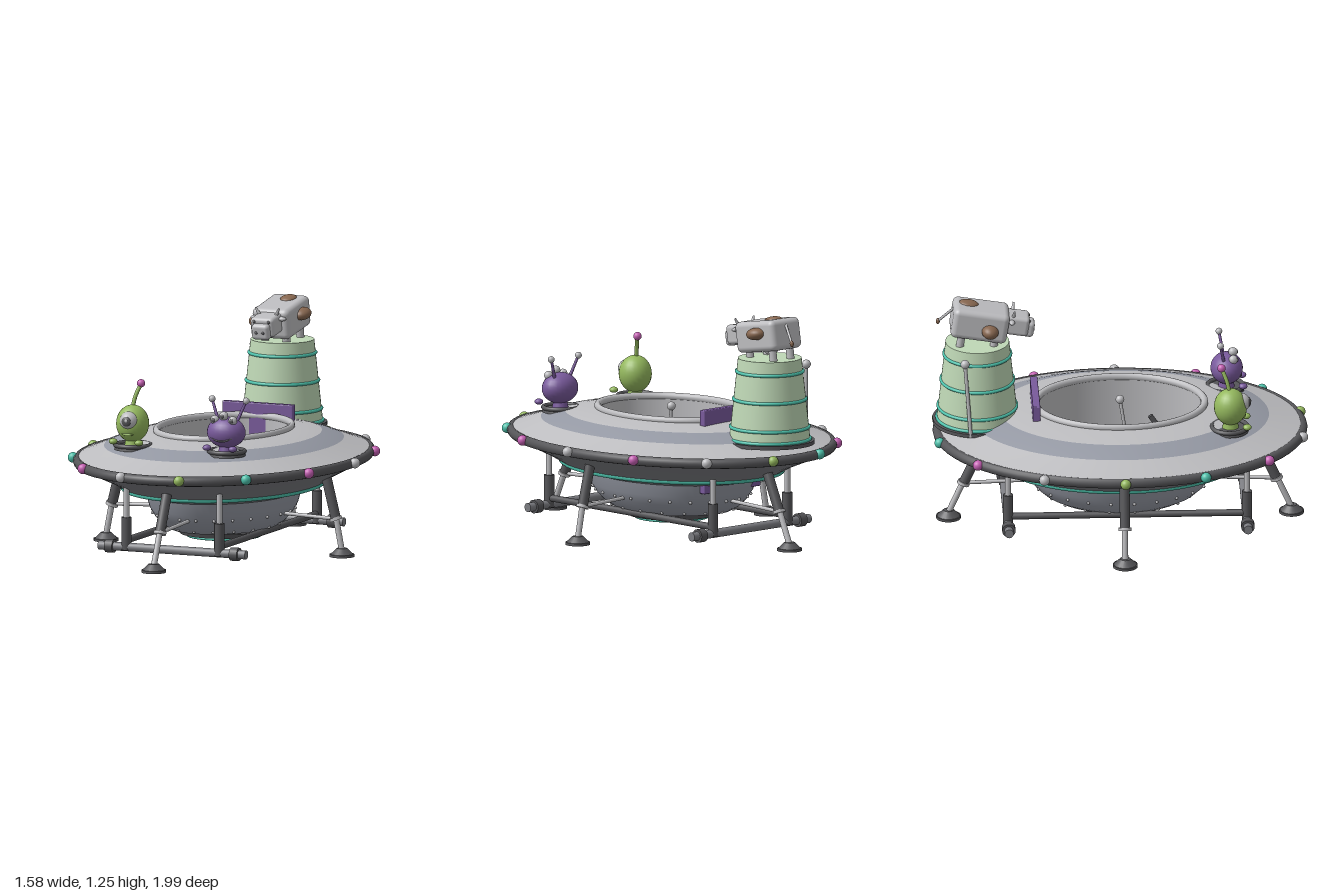
import * as THREE from 'three';
import { RoundedBoxGeometry } from 'three/addons/geometries/RoundedBoxGeometry.js';

const mat = (name, color) =>
  Object.assign(new THREE.MeshStandardMaterial({ color, side: THREE.DoubleSide }), { name });
const M = {
  grey: mat('light grey', 0xbdbdc0), blue: mat('blue grey', 0x9599a4), mid: mat('mid grey', 0x7c7d82),
  dark: mat('dark grey', 0x565659), teal: mat('teal', 0x4cc0aa), pink: mat('pink', 0xc660b4),
  lime: mat('lime green', 0x94b85e), purple: mat('purple', 0x795a9c), pale: mat('pale green', 0xbfd8b6),
  brown: mat('brown', 0x86664f),
};
const SX = 0.76; // the saucer is an ellipse: x is squeezed against z
const V = (x, y, z) => new THREE.Vector3(x, y, z);

export function createModel() {
  const root = new THREE.Group();
  const group = (name, parent = root) => {
    const g = new THREE.Group();
    g.name = name;
    parent.add(g);
    return g;
  };
  const add = (parent, name, geo, m, x = 0, y = 0, z = 0) => {
    const mesh = new THREE.Mesh(geo, m);
    mesh.name = name;
    mesh.position.set(x, y, z);
    parent.add(mesh);
    return mesh;
  };
  const ball = (parent, name, m, x, y, z, rx, ry = rx, rz = rx) => {
    const s = add(parent, name, new THREE.SphereGeometry(1, 24, 16), m, x, y, z);
    s.scale.set(rx, ry, rz);
    return s;
  };
  const rod = (parent, name, m, a, b, r0, r1 = r0) => {
    const d = b.clone().sub(a);
    const c = add(parent, name, new THREE.CylinderGeometry(r1, r0, d.length(), 20), m);
    c.position.copy(a).addScaledVector(d, 0.5);
    c.quaternion.setFromUnitVectors(V(0, 1, 0), d.normalize());
    return c;
  };
  const ring = (parent, name, m, r, tube, x, y, z) =>
    add(parent, name, new THREE.TorusGeometry(r, tube, 12, 72).rotateX(Math.PI / 2), m, x, y, z);
  const lathe = (parent, name, m, pts) =>
    add(parent, name, new THREE.LatheGeometry(pts.map(p => new THREE.Vector2(...p)), 72), m);

  // Saucer shell
  const saucer = group('saucer');
  saucer.scale.x = SX;
  lathe(saucer, 'bowl', M.blue, [[0, 0.11], [0.2, 0.112], [0.36, 0.128], [0.41, 0.155], [0.455, 0.195], [0.49, 0.245], [0.515, 0.315]]);
  lathe(saucer, 'lowerStep', M.mid, [[0.51, 0.31], [0.67, 0.355]]);
  lathe(saucer, 'lowerHull', M.mid, [[0.67, 0.355], [0.76, 0.4], [0.86, 0.44], [0.97, 0.482]]);
  lathe(saucer, 'upperHullOuter', M.grey, [[0.975, 0.52], [0.88, 0.549], [0.79, 0.578]]);
  lathe(saucer, 'upperHullStripe', M.blue, [[0.79, 0.578], [0.72, 0.6], [0.645, 0.618]]);
  lathe(saucer, 'upperHullInner', M.grey, [[0.645, 0.618], [0.55, 0.635], [0.437, 0.646]]);
  lathe(saucer, 'cockpitWall', M.grey, [[0.435, 0.25], [0.435, 0.648]]);
  ring(saucer, 'rim', M.dark, 0.967, 0.027, 0, 0.501, 0);
  ring(saucer, 'undersideRing', M.teal, 0.668, 0.016, 0, 0.357, 0);
  ring(saucer, 'cockpitRim', M.grey, 0.448, 0.02, 0, 0.65, 0);
  add(saucer, 'cockpitFloor', new THREE.CylinderGeometry(0.436, 0.436, 0.01, 72), M.blue, 0, 0.25, 0);

  // Coloured lamps around the rim
  const lampColours = [M.grey, M.pink, M.teal, M.lime];
  for (let i = 0; i < 14; i++) {
    const a = i * Math.PI / 7;
    ball(root, 'rimLamp', lampColours[i % 4], 0.76 * Math.cos(a), 0.506, 0.988 * Math.sin(a), 0.028);
  }

  // Rivets on the bowl
  for (const [r, y, n] of [[0.475, 0.215, 24], [0.39, 0.143, 18]])
    for (let i = 0; i < n; i++) {
      const a = (i + 0.5) * 2 * Math.PI / n;
      ball(root, 'rivet', M.grey, r * SX * Math.cos(a), y, r * Math.sin(a), 0.008);
    }

  // Round emitter under the bowl
  const emitter = group('emitter');
  add(emitter, 'emitterPlate', new THREE.CylinderGeometry(0.245, 0.235, 0.025, 48), M.dark, 0, 0.1, 0);
  add(emitter, 'emitterDisc', new THREE.CylinderGeometry(0.2, 0.19, 0.015, 48), M.mid, 0, 0.083, 0);
  for (const r of [0.195, 0.165, 0.138, 0.112]) ring(emitter, 'emitterRing', M.teal, r, 0.008, 0, 0.078, 0);
  ball(emitter, 'emitterDome', M.grey, 0, 0.08, 0, 0.07, 0.025, 0.07);

  // Four landing legs: [direction x, z, top, knee, foot distance, bowl distance]
  for (const [dx, dz, t, k, f, b] of [[1, 0, 0.59, 0.65, 0.685, 0.35], [-1, 0, 0.59, 0.65, 0.685, 0.35],
    [0, 1, 0.72, 0.83, 0.91, 0.46], [0, -1, 0.72, 0.83, 0.91, 0.46]]) {
    const leg = group('landingLeg');
    const p = (r, y) => V(dx * r, y, dz * r);
    rod(leg, 'upperLeg', M.dark, p(k, 0.2), p(t, 0.44), 0.027);
    rod(leg, 'lowerLeg', M.grey, p(f, 0.03), p(k, 0.21), 0.016);
    rod(leg, 'legCollar', M.grey, p(k + 0.003, 0.192), p(k - 0.003, 0.208), 0.034);
    rod(leg, 'brace', M.grey, p(k, 0.2), p(b, 0.212), 0.01);
    rod(leg, 'footPad', M.dark, p(f, 0), p(f, 0.014), 0.066);
    rod(leg, 'footCone', M.dark, p(f, 0.014), p(f, 0.045), 0.06, 0.028);
  }

  // Rectangular skid frame on pistons
  const skid = group('skidFrame');
  const skidEnds = [0.663, -0.605];
  for (const x of [-0.27, 0.27]) {
    rod(skid, 'skidRail', M.dark, V(x, 0.12, skidEnds[1]), V(x, 0.12, skidEnds[0]), 0.018);
    for (const z of skidEnds) {
      rod(skid, 'pistonSleeve', M.dark, V(x, 0.07, z), V(x, 0.245, z), 0.027);
      rod(skid, 'pistonRod', M.grey, V(x, 0.24, z), V(x, 0.425, z), 0.016);
    }
  }
  for (const z of skidEnds) {
    rod(skid, 'crossTube', M.mid, V(-0.35, 0.085, z), V(0.35, 0.085, z), 0.023);
    for (const s of [-1, 1]) {
      rod(skid, 'tubeCollar', M.dark, V(s * 0.34, 0.085, z), V(s * 0.385, 0.085, z), 0.036);
      rod(skid, 'tubeEnd', M.mid, V(s * 0.385, 0.085, z), V(s * 0.427, 0.085, z), 0.024);
    }
  }

  // Cockpit seat and controls
  const cockpit = group('cockpit');
  add(cockpit, 'seatBack', new RoundedBoxGeometry(0.41, 0.45, 0.04, 3, 0.006), M.purple, 0, 0.495, -0.45);
  const cushion = new THREE.Shape();
  [[0.165, 0.145, 0], [-0.165, 0.145, 1], [-0.165, -0.145, 2], [0.165, -0.145, 3]].forEach(([x, y, q]) =>
    cushion.absarc(x, y, 0.04, q * Math.PI / 2, (q + 1) * Math.PI / 2, false));
  add(cockpit, 'seatCushion', new THREE.ExtrudeGeometry(cushion, { depth: 0.04, bevelEnabled: false }).rotateX(-Math.PI / 2),
    M.purple, 0, 0.253, -0.205);
  rod(cockpit, 'controlStick', M.grey, V(-0.03, 0.25, 0.065), V(0.005, 0.665, 0), 0.009);
  ball(cockpit, 'stickKnob', M.grey, 0.005, 0.665, 0, 0.023);
  rod(cockpit, 'lever', M.dark, V(0, 0.26, 0.375), V(0, 0.57, 0.16), 0.014);
  rod(cockpit, 'leverBase', M.blue, V(0, 0.25, 0.365), V(0, 0.27, 0.365), 0.042);

  // Banded tub at the rear with its antenna
  const tub = group('tub');
  const tz = -0.757;
  add(tub, 'tubBase', new THREE.CylinderGeometry(0.238, 0.238, 0.02, 48), M.dark, 0, 0.57, tz);
  add(tub, 'tubBody', new THREE.CylinderGeometry(0.169, 0.216, 0.445, 48), M.pale, 0, 0.797, tz);
  for (const y of [0.587, 0.65, 0.8, 0.948])
    ring(tub, 'tubBand', M.teal, 0.216 - (y - 0.575) * 0.1056, 0.009, 0, y, tz);
  rod(tub, 'antennaRod', M.grey, V(-0.225, 0.56, -0.8), V(-0.197, 0.97, -0.83), 0.01);
  ball(tub, 'antennaBall', M.grey, -0.197, 0.97, -0.83, 0.024);

  // Cow standing on the tub, nose tipped down
  const cow = group('cow');
  cow.position.set(0, 1.14, -0.745);
  cow.rotation.x = 0.16;
  add(cow, 'cowBody', new RoundedBoxGeometry(0.215, 0.165, 0.3, 4, 0.03), M.grey);
  add(cow, 'cowHead', new RoundedBoxGeometry(0.135, 0.105, 0.14, 4, 0.02), M.grey, 0, 0.015, 0.19);
  add(cow, 'cowMuzzle', new RoundedBoxGeometry(0.1, 0.085, 0.07, 4, 0.02), M.grey, 0, -0.002, 0.257);
  for (const s of [-1, 1]) {
    rod(cow, 'horn', M.grey, V(s * 0.045, 0.055, 0.17), V(s * 0.068, 0.1, 0.17), 0.011, 0.005);
    ball(cow, 'ear', M.grey, s * 0.078, 0.042, 0.165, 0.025, 0.012, 0.015);
    ball(cow, 'cowEye', M.dark, s * 0.042, 0.048, 0.257, 0.009);
    ball(cow, 'nostril', M.dark, s * 0.02, -0.004, 0.291, 0.009, 0.009, 0.005);
    for (const z of [-0.84, -0.66]) rod(root, 'cowLeg', M.grey, V(s * 0.062, 1.017, z - 0.012), V(s * 0.062, 1.1, z), 0.021);
  }
  ball(cow, 'topSpot', M.brown, 0.015, 0.08, -0.07, 0.043, 0.018, 0.052);
  ball(cow, 'leftSpot', M.brown, 0.11, 0.016, -0.025, 0.048, 0.033, 0.058);
  ball(cow, 'rightSpot', M.brown, -0.11, -0.015, 0.055, 0.053, 0.037, 0.045);
  ball(cow, 'udder', M.grey, 0, -0.078, -0.01, 0.04, 0.03, 0.035);
  rod(cow, 'tail', M.grey, V(0, 0.05, -0.145), V(0.033, -0.045, -0.21), 0.007);
  ball(cow, 'tailTuft', M.brown, 0.035, -0.052, -0.214, 0.011, 0.017, 0.011);

  // Shared hatch and hands for both aliens
  const alienBase = (g, x, m) => {
    add(g, 'hatch', new THREE.CylinderGeometry(0.095, 0.1, 0.022, 40), M.dark, x, 0.606, 0.57);
    ring(g, 'hatchRim', M.dark, 0.094, 0.012, x, 0.62, 0.57);
    add(g, 'neck', new THREE.CylinderGeometry(0.035, 0.045, 0.05, 24), m, x, 0.635, 0.575);
    for (const s of [-1, 1]) ball(g, 'hand', m, x + s * 0.075, 0.646, 0.661, 0.023, 0.016, 0.023);
  };

  // One-eyed alien
  const cyclops = group('oneEyedAlien');
  alienBase(cyclops, -0.273, M.lime);
  ball(cyclops, 'body', M.lime, -0.273, 0.735, 0.575, 0.088, 0.1, 0.088);
  ball(cyclops, 'eyeball', M.grey, -0.268, 0.757, 0.63, 0.05);
  ball(cyclops, 'iris', M.dark, -0.267, 0.757, 0.672, 0.026, 0.026, 0.012);
  ball(cyclops, 'pupilGlint', M.grey, -0.264, 0.762, 0.682, 0.009, 0.009, 0.004);
  ball(cyclops, 'lip', M.lime, -0.273, 0.685, 0.642, 0.034, 0.009, 0.015);
  const feeler = new THREE.CatmullRomCurve3([V(-0.275, 0.82, 0.57), V(-0.265, 0.88, 0.555), V(-0.245, 0.94, 0.53)]);
  add(cyclops, 'feeler', new THREE.TubeGeometry(feeler, 12, 0.011, 10), M.lime);
  ball(cyclops, 'feelerTip', M.pink, -0.245, 0.945, 0.528, 0.022);

  // Many-eyed alien
  const trio = group('manyEyedAlien');
  alienBase(trio, 0.272, M.purple);
  ball(trio, 'body', M.purple, 0.272, 0.722, 0.577, 0.106, 0.083, 0.086);
  for (const [dx, y] of [[-0.052, 0.79], [0, 0.813], [0.052, 0.79]]) {
    ball(trio, 'eye', M.grey, 0.272 + dx, y, 0.61, 0.024);
    ball(trio, 'pupil', M.dark, 0.272 + dx, y, 0.63, 0.012, 0.012, 0.007);
  }
  const smile = new THREE.CatmullRomCurve3([-0.06, -0.03, 0, 0.03, 0.06].map(d =>
    V(0.272 + d, 0.682 + d * d * 5, 0.577 + 0.077 * Math.sqrt(1 - (d / 0.1) ** 2))));
  add(trio, 'mouth', new THREE.TubeGeometry(smile, 16, 0.005, 8), M.dark);
  for (const s of [-1, 1]) {
    rod(trio, 'antenna', M.purple, V(0.272 + s * 0.055, 0.78, 0.56), V(0.272 + s * 0.098, 0.888, 0.54), 0.009, 0.007);
    ball(trio, 'antennaTip', M.grey, 0.272 + s * 0.099, 0.89, 0.54, 0.018);
  }
  return root;
}
